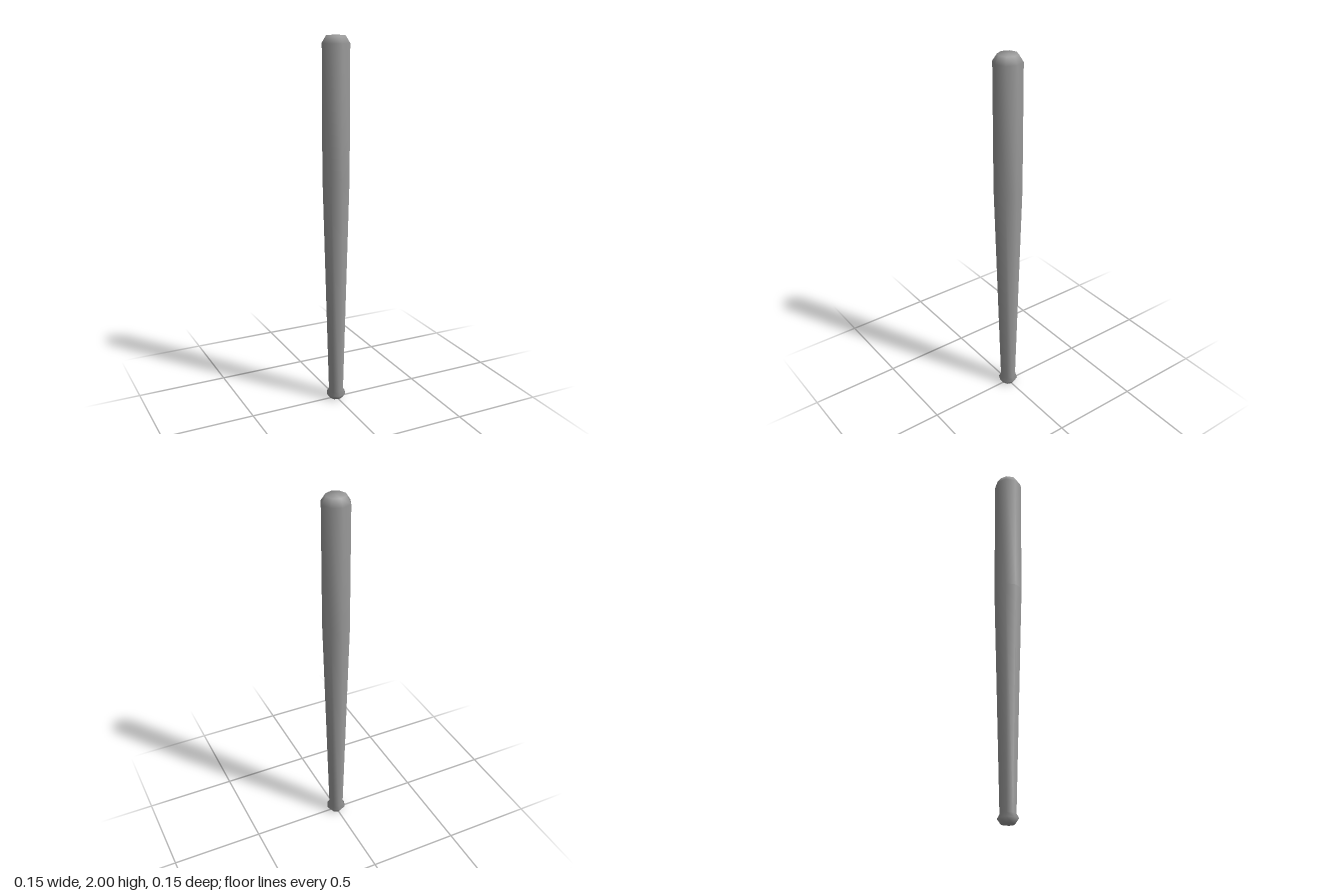
import * as THREE from 'three';
import { mergeVertices } from 'three/addons/utils/BufferGeometryUtils.js';

export function createModel() {
  const group = new THREE.Group();
  group.name = 'bat';

  // Radius and height from the knob up to the barrel end
  const profile = [
    [0, 0], [0.036, 0], // knob base
    [0.055, 0.027], // knob rim
    [0.042, 0.05], // handle start
    [0.0755, 1.28], // barrel start
    [0.0755, 1.963], // barrel shoulder
    [0.052, 2], [0, 2], // flat end
  ].map(([r, y]) => new THREE.Vector2(r, y));

  // Eight-sided body turned in one piece, welded so it shades smoothly over both ends
  const lathe = new THREE.LatheGeometry(profile, 8);
  lathe.deleteAttribute('uv');
  lathe.deleteAttribute('normal');
  const geometry = mergeVertices(lathe);
  geometry.computeVertexNormals();

  const body = new THREE.Mesh(geometry, new THREE.MeshStandardMaterial({ color: 0x9a9a9a }));
  body.name = 'batBody';
  group.add(body);

  return group;
}
